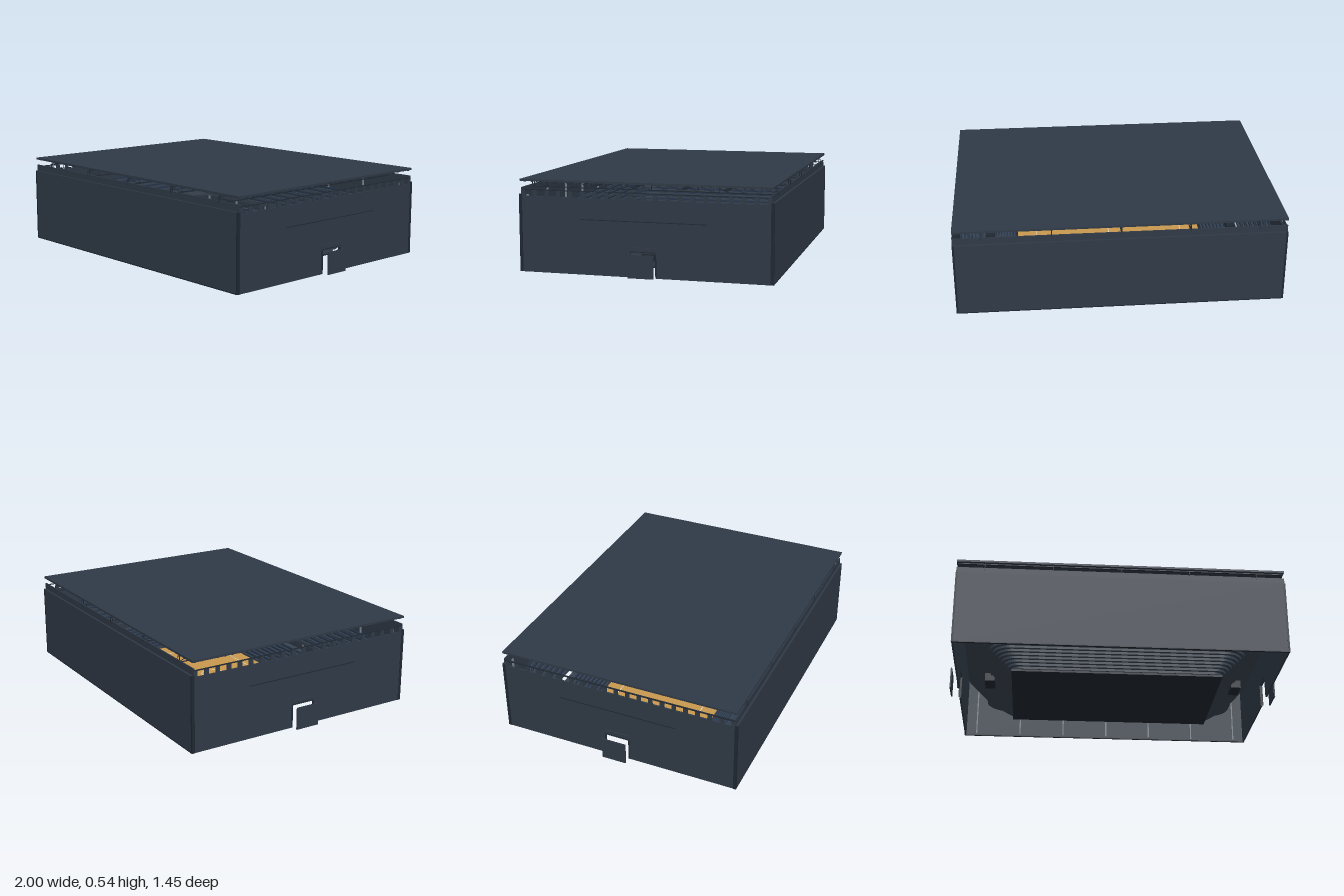
import * as THREE from 'three';

const mat = (name, color, side = THREE.FrontSide) => {
  const m = new THREE.MeshStandardMaterial({ color, side });
  m.name = name;
  return m;
};

export function createModel() {
  const arena = new THREE.Group();
  arena.name = 'arena';
  const cladding = mat('slate cladding', 0x2f3946);
  const trim = mat('dark trim', 0x1f2731);
  const concrete = mat('concrete', 0x37424f);
  const seatBlue = mat('seat navy', 0x26354a);
  const wood = mat('court wood', 0xc8984f);
  const paint = mat('court line white', 0xe8e6df);
  const steel = mat('light steel', 0x77828c);

  const group = (name) => {
    const g = new THREE.Group();
    g.name = name;
    arena.add(g);
    return g;
  };
  const add = (parent, name, geo, material) => {
    const m = new THREE.Mesh(geo, material);
    m.name = name;
    parent.add(m);
    return m;
  };
  // box given by centre and size
  const box = (parent, name, material, x, y, z, w, h, d) => {
    const m = add(parent, name, new THREE.BoxGeometry(w, h, d), material);
    m.position.set(x, y, z);
    return m;
  };
  // thin bar between two points in a plane of constant x
  const bar = (parent, name, x, y1, z1, y2, z2, t) => {
    const len = Math.hypot(y2 - y1, z2 - z1);
    const m = box(parent, name, trim, x, (y1 + y2) / 2, (z1 + z2) / 2, t, t, len);
    m.rotation.x = -Math.atan2(y2 - y1, z2 - z1);
  };
  // rounded rectangle outline from half sizes
  const roundRect = (path, a, b, r) => {
    path.moveTo(a - r, -b);
    path.absarc(a - r, -b + r, r, -Math.PI / 2, 0);
    path.absarc(a - r, b - r, r, 0, Math.PI / 2);
    path.absarc(-a + r, b - r, r, Math.PI / 2, Math.PI);
    path.absarc(-a + r, -b + r, r, Math.PI, Math.PI * 1.5);
    path.closePath();
    return path;
  };
  // flat rounded ring, grown outward from the arena floor
  const ring = (parent, name, material, inner, outer, y, h) => {
    const s = roundRect(new THREE.Shape(), 0.61 + inner, 0.37 + inner, 0.05 + inner * 0.5);
    s.holes.push(roundRect(new THREE.Path(), 0.61 + inner - (outer - inner), 0.37 + inner - (outer - inner),
      0.05 + inner * 0.5 - (outer - inner) * 0.5));
    const g = new THREE.ExtrudeGeometry(s, { depth: h, bevelEnabled: false, curveSegments: 6 });
    g.rotateX(-Math.PI / 2);
    add(parent, name, g, material).position.y = y;
  };

  // Arena floor and court
  const floor = group('arenaFloor');
  box(floor, 'floorSlab', trim, 0, 0.006, 0, 1.24, 0.012, 0.76);
  box(floor, 'court', wood, 0, 0.014, 0, 1.18, 0.004, 0.72);
  for (const s of [-1, 1]) {
    box(floor, 'sideLine', paint, 0, 0.0165, s * 0.27, 0.94, 0.001, 0.004);
    box(floor, 'endLine', paint, s * 0.47, 0.0165, 0, 0.004, 0.001, 0.54);
  }
  box(floor, 'centreLine', paint, 0, 0.0165, 0, 0.004, 0.001, 0.54);
  const circle = add(floor, 'centreCircle', new THREE.RingGeometry(0.07, 0.074, 32), paint);
  circle.rotation.x = -Math.PI / 2;
  circle.position.y = 0.017;

  // Seating bowl: shallow lower deck, steeper upper deck
  const bowl = group('seatingBowl');
  const deck = (rows, start, run, y0, rise) => {
    for (let i = 0; i < rows; i++) {
      const o = start + (i + 1) * run, y = y0 + i * rise;
      ring(bowl, 'tier', concrete, o, o + run + 0.004, y, rise);
      ring(bowl, 'seatRow', seatBlue, o - 0.002, o + 0.008, y + rise, 0.012);
    }
  };
  deck(8, 0.0, 0.018, 0.012, 0.014);
  ring(bowl, 'concourse', concrete, 0.18, 0.22, 0.124, 0.008);
  deck(7, 0.18, 0.019, 0.17, 0.023);

  // Long walls with parapet band and inner columns
  const walls = group('walls');
  for (const s of [-1, 1]) {
    box(walls, 'longWall', cladding, 0, 0.232, s * 0.718, 1.896, 0.44, 0.012);
    box(walls, 'parapetBand', cladding, 0, 0.468, s * 0.708, 1.896, 0.046, 0.006);
    box(walls, 'wallBase', trim, 0, 0.014, s * 0.718, 1.89, 0.006, 0.013);
    for (let i = -3; i <= 3; i++)
      box(walls, 'wallColumn', steel, i * 0.29, 0.23, s * 0.706, 0.008, 0.42, 0.01);
    for (const e of [-1, 1])
      box(walls, 'cornerPost', trim, e * 0.944, 0.232, s * 0.716, 0.011, 0.44, 0.018);
  }

  // End walls with a doorway, clerestory posts and a narrow ledge
  const endShape = new THREE.Shape();
  [[-0.712, 0.012], [-0.072, 0.012], [-0.072, 0.148], [0.072, 0.148], [0.072, 0.012],
    [0.712, 0.012], [0.712, 0.442], [-0.712, 0.442]]
    .forEach(([z, y], i) => (i ? endShape.lineTo(z, y) : endShape.moveTo(z, y)));
  const endGeo = new THREE.ExtrudeGeometry(endShape, { depth: 0.01, bevelEnabled: false });
  endGeo.rotateY(Math.PI / 2);
  for (const s of [-1, 1]) {
    add(walls, 'endWall', endGeo, cladding).position.x = s * 0.943 - 0.005;
    box(walls, 'endLedge', trim, s * 0.949, 0.322, 0, 0.005, 0.004, 0.72);
    for (let i = 0; i <= 20; i++)
      box(walls, 'clerestoryPost', cladding, s * 0.943, 0.459, -0.7 + i * 0.07, 0.01, 0.036, 0.024);
    box(walls, 'clerestoryRail', trim, s * 0.943, 0.478, 0, 0.01, 0.004, 1.42);

    // Doorway trim and free-standing screen
    const entry = group('entrance');
    box(entry, 'doorHeader', cladding, s * 0.95, 0.164, 0, 0.008, 0.032, 0.15);
    box(entry, 'headerStrip', trim, s * 0.9545, 0.156, 0, 0.002, 0.004, 0.15);
    for (const e of [-1, 1])
      box(entry, 'doorJamb', trim, s * 0.95, 0.082, e * 0.073, 0.01, 0.132, 0.004);
    box(entry, 'entryScreen', cladding, s * 0.996, 0.083, 0, 0.008, 0.13, 0.146);
    box(entry, 'tunnelPortal', trim, s * 0.76, 0.11, 0, 0.06, 0.07, 0.12);
  }

  // Roof with trusses, purlins and catwalks
  const roof = group('roof');
  box(roof, 'roofDeck', cladding, 0, 0.531, 0, 1.896, 0.012, 1.436);
  for (let i = -15; i <= 15; i++)
    box(roof, 'purlin', trim, 0, 0.5225, i * 0.0465, 1.88, 0.005, 0.006);
  for (let k = -2; k <= 2; k++) {
    const x = k * 0.393;
    bar(roof, 'bottomChord', x, 0.476, -0.71, 0.476, 0.71, 0.005);
    bar(roof, 'topChord', x, 0.512, -0.71, 0.512, 0.71, 0.005);
    for (let i = 0; i <= 16; i++) {
      const z = -0.712 + i * 0.089;
      bar(roof, 'trussPost', x, 0.476, z, 0.512, z, 0.003);
      if (i < 16) bar(roof, 'trussDiagonal', x, 0.476, z, 0.512, z + 0.089, 0.003);
    }
    for (const z of [-0.7, -0.39, 0.39, 0.7])
      box(roof, 'roofHanger', trim, x, 0.5, z, 0.004, 0.05, 0.004);
  }
  for (const z of [-0.39, -0.15, 0.15, 0.39])
    box(roof, 'catwalk', trim, 0, 0.47, z, 1.3, 0.007, 0.026);

  return arena;
}
